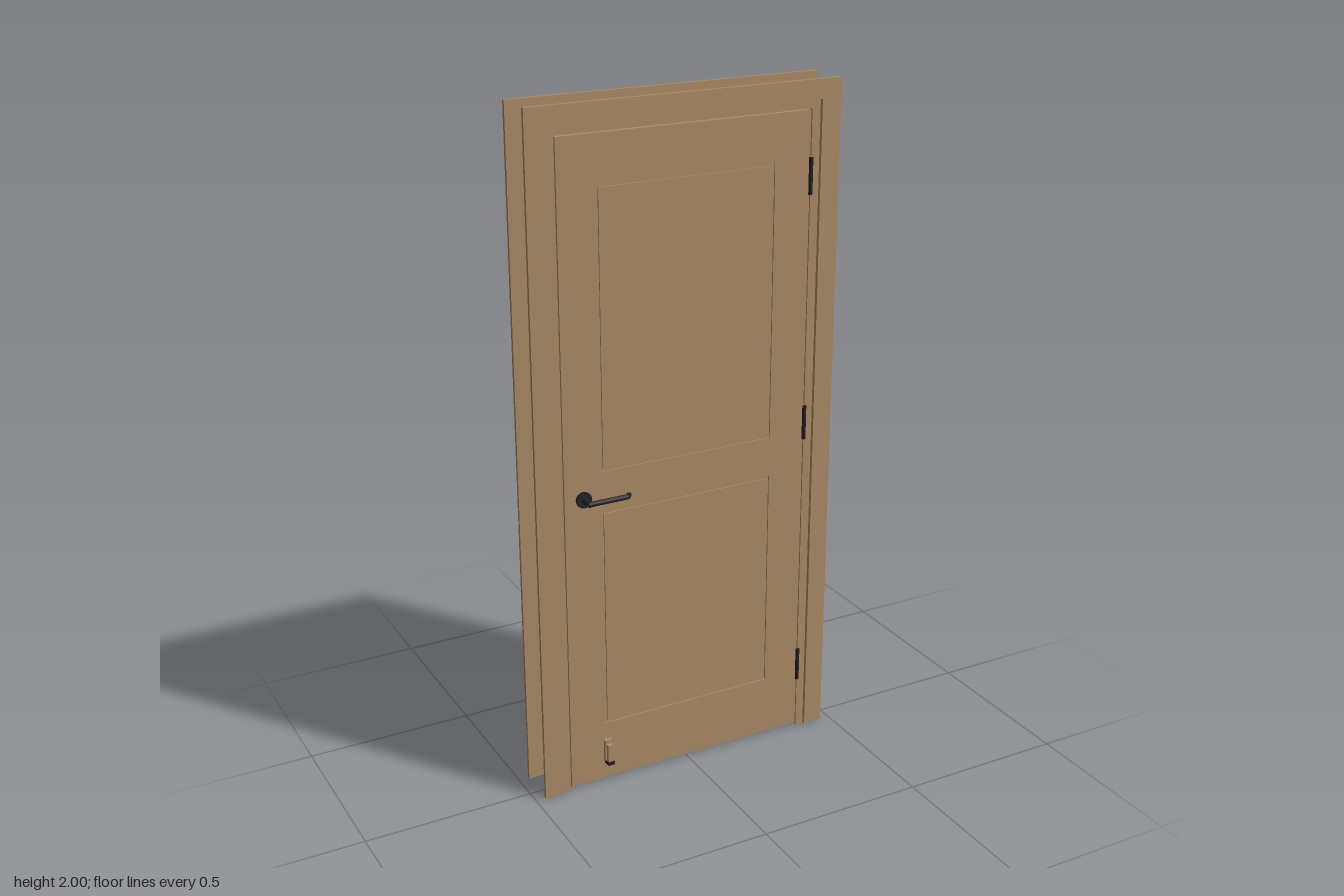
import * as THREE from 'three';

const wood = new THREE.MeshStandardMaterial({ color: 0xad8c66 });
wood.name = 'oak wood';
const black = new THREE.MeshStandardMaterial({ color: 0x222222 });
black.name = 'black metal';

const LEAF_FRONT = 0.035, LEAF_BACK = -0.005, GROOVE_DEPTH = 0.004;

function add(parent, geometry, material, name, x = 0, y = 0, z = 0) {
  const mesh = new THREE.Mesh(geometry, material);
  mesh.name = name;
  mesh.position.set(x, y, z);
  parent.add(mesh);
  return mesh;
}

// Box given by its minimum and maximum corners
function block(parent, material, name, [x0, y0, z0], [x1, y1, z1]) {
  return add(parent, new THREE.BoxGeometry(x1 - x0, y1 - y0, z1 - z0), material, name,
    (x0 + x1) / 2, (y0 + y1) / 2, (z0 + z1) / 2);
}

function plate(parent, points, z, depth, name, holes = []) {
  const shape = new THREE.Shape(points.map(p => new THREE.Vector2(...p)));
  for (const h of holes) shape.holes.push(new THREE.Path(h.map(p => new THREE.Vector2(...p))));
  return add(parent, new THREE.ExtrudeGeometry(shape, { depth, bevelEnabled: false }), wood, name, 0, 0, z);
}

// Round bar between two points
function rod(parent, a, b, radius, name) {
  const from = new THREE.Vector3(...a), to = new THREE.Vector3(...b);
  const mesh = add(parent, new THREE.CylinderGeometry(radius, radius, from.distanceTo(to), 12), black, name);
  mesh.position.copy(from).lerp(to, 0.5);
  mesh.quaternion.setFromUnitVectors(new THREE.Vector3(0, 1, 0), to.sub(from).normalize());
  return mesh;
}

const rect = (x0, y0, x1, y1) => [[x0, y0], [x1, y0], [x1, y1], [x0, y1]];

// Three-sided lining with its inner opening narrowed by the given thickness
function lining(parent, name, outerX, top, t, z0, z1) {
  for (const s of [-1, 1]) {
    const a = s * outerX, b = s * (outerX - t);
    block(parent, wood, name + 'Side', [Math.min(a, b), 0, z0], [Math.max(a, b), top, z1]);
  }
  block(parent, wood, name + 'Head', [t - outerX, top - t, z0], [outerX - t, top, z1]);
}

// Mitred casing on one face of the wall
function casing(parent, name, z) {
  const g = new THREE.Group();
  g.name = name;
  const o = 0.47, i = 0.411, top = 2, inTop = 1.945;
  plate(g, [[-o, 0], [-i, 0], [-i, inTop], [-o, top]], z, 0.01, 'casingRightLeg');
  plate(g, [[i, 0], [o, 0], [o, top], [i, inTop]], z, 0.01, 'casingLeftLeg');
  plate(g, [[-i, inTop], [i, inTop], [o, top], [-o, top]], z, 0.01, 'casingHead');
  parent.add(g);
}

// Lever handle; dir is +1 on the front face and -1 on the back
function handle(parent, name, faceZ, dir) {
  const g = new THREE.Group();
  g.name = name;
  g.position.set(-0.325, 0.911, faceZ);
  const rose = add(g, new THREE.CylinderGeometry(0.023, 0.023, 0.009, 24), black, 'rose', 0, 0, dir * 0.0045);
  rose.rotation.x = Math.PI / 2;
  rod(g, [0, 0, 0], [0, 0, dir * 0.044], 0.008, 'neck');
  rod(g, [-0.004, 0, dir * 0.04], [0.117, 0, dir * 0.04], 0.0075, 'lever');
  rod(g, [0.115, 0, dir * 0.041], [0.126, 0, dir * 0.03], 0.0075, 'leverTip');
  parent.add(g);
}

// Door leaf with grooved panel outlines on both faces
function leaf(parent) {
  const g = new THREE.Group();
  g.name = 'doorLeaf';
  const w = 0.382, bottom = 0.008, top = 1.917, gap = 0.007, px = 0.27;
  const panels = [[0.19, 0.862], [0.982, 1.782]];
  block(g, wood, 'core', [-w, bottom, LEAF_BACK + GROOVE_DEPTH], [w, top, LEAF_FRONT - GROOVE_DEPTH]);
  for (const z of [LEAF_FRONT - GROOVE_DEPTH, LEAF_BACK]) {
    plate(g, rect(-w, bottom, w, top), z, GROOVE_DEPTH, 'stilesAndRails',
      panels.map(([y0, y1]) => rect(-px, y0, px, y1)));
    for (const [y0, y1] of panels)
      plate(g, rect(gap - px, y0 + gap, px - gap, y1 - gap), z, GROOVE_DEPTH, 'panel');
  }
  parent.add(g);
}

export function createModel() {
  const door = new THREE.Group();
  door.name = 'door';

  // Frame: jamb lining, door stop and casings
  lining(door, 'jamb', 0.415, 1.95, 0.03, -0.075, 0.035);
  lining(door, 'stop', 0.385, 1.92, 0.015, -0.032, LEAF_BACK - 0.001);
  casing(door, 'frontCasing', 0.035);
  casing(door, 'backCasing', -0.085);

  leaf(door);
  handle(door, 'frontHandle', LEAF_FRONT, 1);
  handle(door, 'backHandle', LEAF_BACK, -1);

  // Hinge knuckles
  for (const y of [0.215, 1.01, 1.735])
    add(door, new THREE.CylinderGeometry(0.006, 0.006, 0.104, 12), black, 'hinge', 0.384, y, 0.037);

  // Flip-down door holder near the floor
  block(door, wood, 'holderPlate', [-0.277, 0.07, LEAF_FRONT], [-0.253, 0.137, 0.046]);
  block(door, wood, 'holderArm', [-0.273, 0.07, 0.046], [-0.257, 0.125, 0.058]);
  block(door, black, 'holderFoot', [-0.275, 0.06, LEAF_FRONT], [-0.255, 0.07, 0.061]);

  return door;
}
